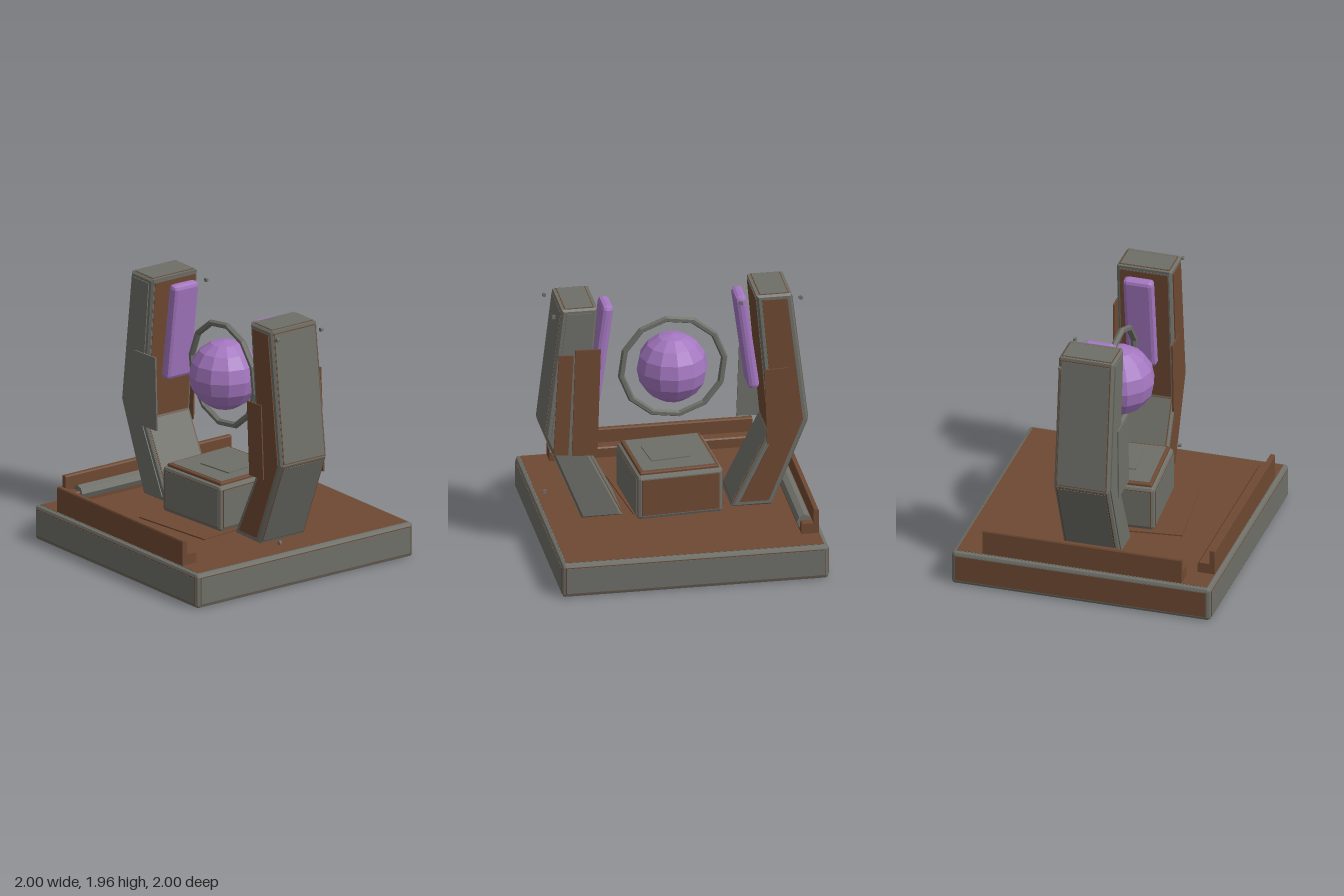
import * as THREE from 'three';
import { RoundedBoxGeometry } from 'three/addons/geometries/RoundedBoxGeometry.js';

const material = (name, color) => {
  const m = new THREE.MeshStandardMaterial({ color });
  m.name = name;
  return m;
};

// Gives every face its own flat normal
function faceted(geometry) {
  const g = geometry.index ? geometry.toNonIndexed() : geometry;
  g.computeVertexNormals();
  return g;
}

export function createModel() {
  const model = new THREE.Group();
  model.name = 'reactorPlatform';
  const grey = material('stoneGrey', 0x6e6f68);
  const brown = material('rustBrown', 0x6e4932);
  const purple = material('crystalPurple', 0xa477c0);

  function add(parent, name, geometry, mat, x = 0, y = 0, z = 0, rz = 0) {
    const mesh = new THREE.Mesh(geometry, mat);
    mesh.name = name;
    mesh.position.set(x, y, z);
    mesh.rotation.z = rz;
    parent.add(mesh);
    return mesh;
  }
  const box = (w, h, d) => new THREE.BoxGeometry(w, h, d);
  const chamferBox = (w, h, d, r) => faceted(new RoundedBoxGeometry(w, h, d, 1, r));
  const polygon = (points) => new THREE.Shape(points.map(([x, y]) => new THREE.Vector2(x, y)));

  // Chamfered block with a trimmed thin panel on each listed face
  function panelBlock(name, w, h, d, chamfer, faces) {
    const group = new THREE.Group();
    group.name = name;
    add(group, name + 'Body', chamferBox(w, h, d, chamfer), grey);
    const inset = chamfer * 2.6;
    for (const [axis, sign, mat] of faces) {
      for (const [extra, thick, m] of [[0.012, 0.004, mat === grey ? brown : grey], [0, 0.008, mat]]) {
        const size = [w, h, d].map((s, i) => (i === axis ? thick : s - inset + extra));
        const p = [0, 0, 0];
        p[axis] = sign * [w, h, d][axis] / 2;
        add(group, name + 'Panel', box(...size), m, ...p);
      }
    }
    model.add(group);
    return group;
  }

  // Base slab
  panelBlock('base', 1.99, 0.265, 1.99, 0.025, [
    [0, 1, grey], [0, -1, brown], [1, 1, brown], [2, 1, grey], [2, -1, grey],
  ]).position.y = 0.133;

  // Pedestal with its cap, top plate and floor sheet
  const pedestal = panelBlock('pedestal', 0.65, 0.35, 0.65, 0.025, [
    [0, 1, grey], [0, -1, grey], [2, 1, grey], [2, -1, brown],
  ]);
  pedestal.position.set(0.015, 0.455, 0.005);
  pedestal.rotation.y = 0.07;
  add(pedestal, 'pedestalCapTrim', chamferBox(0.6, 0.04, 0.6, 0.01), brown, 0, 0.178, 0);
  add(pedestal, 'pedestalCap', box(0.55, 0.008, 0.55), grey, 0, 0.198, 0);
  add(pedestal, 'pedestalTopPlate', box(0.3, 0.012, 0.26), grey, 0.03, 0.205, 0).rotation.y = 0.05;
  add(model, 'floorSheet', box(0.7, 0.01, 0.7), brown, 0.02, 0.275, 0.18).rotation.y = 0.115;

  // L-shaped rails along the front and the right side
  const railProfile = polygon([
    [-0.96, 0.265], [-0.83, 0.265], [-0.83, 0.34], [-0.84, 0.35], [-0.92, 0.35],
    [-0.92, 0.45], [-0.925, 0.46], [-0.955, 0.46], [-0.96, 0.45],
  ]);
  for (const [name, turn] of [['sideRail', 0], ['frontRail', Math.PI / 2]]) {
    const g = new THREE.ExtrudeGeometry(railProfile, { depth: 1.53, bevelEnabled: false });
    g.translate(0, 0, -0.765);
    add(model, name, g, brown).rotation.y = turn;
  }
  const pipe = new THREE.CylinderGeometry(0.057, 0.057, 1.39, 8).rotateX(Math.PI / 2);
  add(model, 'sidePipe', faceted(pipe), grey, -0.865, 0.335, 0);

  // Bent arms: body, side panels and edge panels
  const outline = [[0.425, 0.285], [0.7, 0.285], [0.965, 0.94], [0.845, 1.945], [0.61, 1.945], [0.705, 0.85]];
  const inner = [[0.47, 0.31], [0.685, 0.31], [0.94, 0.94], [0.823, 1.925], [0.635, 1.925], [0.732, 0.845]];
  const bodyOutline = polygon(outline);
  const edgeMats = [grey, grey, grey, grey, brown, grey];

  function arm(name, turned) {
    const group = new THREE.Group();
    group.name = name;
    const body = new THREE.ExtrudeGeometry(bodyOutline, {
      depth: 0.39, bevelThickness: 0.015, bevelSize: 0.015, bevelSegments: 1,
    });
    body.translate(0, 0, -0.195);
    add(group, name + 'Body', faceted(body), grey);
    // Flat side faces, brown on one side only
    for (const [z, mat] of [[0.21, brown], [-0.218, grey]]) {
      const face = new THREE.ExtrudeGeometry(polygon(inner), { depth: 0.008, bevelEnabled: false });
      add(group, name + 'SidePanel', face, mat, 0, 0, z);
    }
    // Panels along the rim of the profile
    for (let i = 1; i < 6; i++) {
      const [ax, ay] = outline[i], [bx, by] = outline[(i + 1) % 6];
      const length = Math.hypot(bx - ax, by - ay);
      const nx = (by - ay) / length, ny = (ax - bx) / length;
      const angle = Math.atan2(by - ay, bx - ax);
      for (const [grow, lift, mat] of [[0.015, 0.014, edgeMats[i] === grey ? brown : grey], [0, 0.017, edgeMats[i]]]) {
        add(group, name + 'EdgePanel', box(length - 0.03 + grow, 0.006, 0.37 + grow), mat,
          (ax + bx) / 2 + nx * lift, (ay + by) / 2 + ny * lift, 0, angle);
      }
    }
    if (turned) group.rotation.y = Math.PI;
    model.add(group);
  }
  arm('leftArm', false);
  arm('rightArm', true);

  // Tilted armour plates on the arms: width, height, x, y, z, tilt
  for (const [w, h, x, y, z, tilt, mat] of [
    [0.25, 0.565, -0.655, 1.087, 0.222, 0.035, grey],
    [0.17, 0.57, 0.68, 1.07, 0.222, 0.05, brown],
    [0.19, 0.85, 0.68, 1.21, -0.224, 0.03, brown],
    [0.11, 0.8, 0.85, 1.2, -0.222, 0.05, brown],
    [0.18, 0.6, -0.75, 1.07, -0.224, -0.03, brown],
  ]) add(model, 'armPlate', box(w, h, 0.012), mat, x, y, z, tilt);

  // Glowing strips on the inner faces of the arms
  for (const s of [-1, 1]) {
    add(model, s > 0 ? 'leftCrystalStrip' : 'rightCrystalStrip',
      chamferBox(0.085, 0.76, 0.23, 0.03), purple, s * 0.545, 1.545, -0.008, s * 0.135);
  }

  // Floating orb and ring
  add(model, 'orb', faceted(new THREE.SphereGeometry(0.265, 12, 8)), purple, 0, 1.35, -0.005);
  add(model, 'ring', faceted(new THREE.TorusGeometry(0.388, 0.025, 6, 12)), grey, -0.005, 1.35, 0, 0.4);

  // Small floating bolts
  for (const [x, y, z] of [
    [-0.93, 1.91, -0.18], [-0.48, 1.91, -0.2], [0.92, 1.91, -0.2], [0.92, 1.91, 0.2], [0.92, 0.33, 0.18],
  ]) {
    const bolt = new THREE.CylinderGeometry(0.016, 0.016, 0.02, 6).rotateX(Math.PI / 2);
    add(model, 'bolt', faceted(bolt), grey, x, y, z);
  }
  return model;
}
